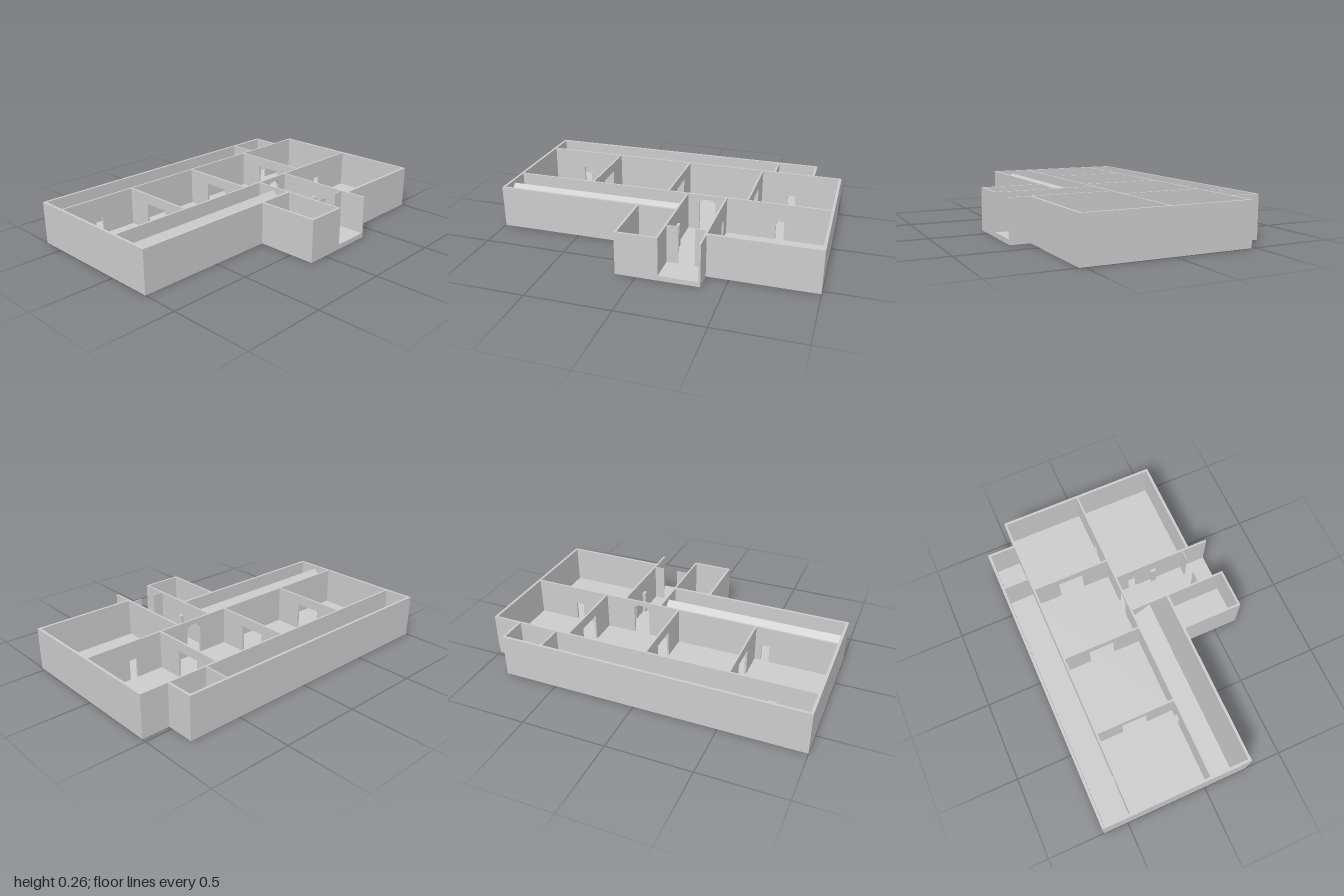
import * as THREE from 'three';

const FLOOR = 0.03, TOP = 0.26;
const material = new THREE.MeshStandardMaterial({ color: 0xcccccc, flatShading: true });

export function createModel() {
  const model = new THREE.Group();
  model.name = 'floorPlanBuilding';

  const add = (name, geometry) => {
    const mesh = new THREE.Mesh(geometry, material);
    mesh.name = name;
    model.add(mesh);
    return mesh;
  };

  // Wall outline from a to b; openings are [start, end, top, arched], in rising order
  const wallGeometry = (a, b, t, openings) => {
    const s = new THREE.Shape();
    s.moveTo(a, FLOOR);
    for (const [p, q, top, arched] of openings) {
      const r = (q - p) / 2;
      s.lineTo(p, FLOOR);
      if (arched) {
        s.lineTo(p, top - r * 0.65);
        s.absellipse((p + q) / 2, top - r * 0.65, r, r * 0.65, Math.PI, 0, true);
      } else {
        s.lineTo(p, top);
        s.lineTo(q, top);
      }
      s.lineTo(q, FLOOR);
    }
    s.lineTo(b, FLOOR);
    s.lineTo(b, TOP);
    s.lineTo(a, TOP);
    s.closePath();
    return new THREE.ExtrudeGeometry(s, { depth: t, bevelEnabled: false, curveSegments: 12 });
  };
  // Wall running along x, occupying z .. z + t
  const wallX = (name, a, b, z, t, openings = []) => {
    add(name, wallGeometry(a, b, t, openings)).position.z = z;
  };
  // Wall running along z, occupying x .. x + t
  const wallZ = (name, a, b, x, t, openings = []) => {
    const mesh = add(name, wallGeometry(a, b, t, openings));
    mesh.rotation.y = -Math.PI / 2;
    mesh.position.x = x + t;
  };

  // Floor slab
  const outline = [[-1, -0.65], [0.83, -0.65], [0.83, -0.475], [1, -0.475], [1, 0.53],
    [0.37, 0.53], [0.37, 0.65], [-0.12, 0.65], [-0.12, 0.275], [-1, 0.275]];
  const slab = new THREE.Shape(outline.map(([x, z]) => new THREE.Vector2(x, -z)));
  add('floorSlab', new THREE.ExtrudeGeometry(slab, { depth: FLOOR, bevelEnabled: false })
    .rotateX(-Math.PI / 2));

  // Outer walls
  wallX('backWall', -1, 0.83, -0.65, 0.016);
  wallZ('rightWall', -0.65, 0.275, -1, 0.016);
  wallZ('corridorEndWall', -0.65, -0.475, 0.816, 0.014);
  wallZ('leftWall', -0.475, 0.53, 0.984, 0.016);
  wallX('leftRoomFrontWall', 0.37, 1, 0.514, 0.016);
  wallX('trenchFrontWall', -1, 0.125, 0.259, 0.016);
  wallZ('smallRoomSideWall', 0.275, 0.65, -0.12, 0.014);
  wallX('smallRoomFrontWall', -0.12, 0.13, 0.637, 0.013);

  // Inner long walls with small doorways and the entrance arch
  wallX('corridorWall', -1, 1, -0.477, 0.012, [[-0.77, -0.72, 0.14], [0.67, 0.72, 0.14]]);
  wallX('middleWall', -1, 1, 0.018, 0.012,
    [[-0.59, -0.54, 0.14], [0.2, 0.3, 0.232, true], [0.67, 0.72, 0.15]]);

  // Room dividers with wide doorways
  for (const x of [-0.502, -0.006, 0.488]) {
    wallZ('roomDivider', -0.475, 0.02, x, 0.012, [[-0.31, -0.15, 0.2]]);
  }
  wallZ('corridorDivider', -0.64, -0.475, 0.57, 0.01);

  // Entrance hall, open to the front
  wallZ('hallRightWall', 0.025, 0.65, 0.118, 0.012);
  wallZ('hallLeftWall', 0.025, 0.65, 0.358, 0.012, [[0.11, 0.16, 0.15]]);
  wallX('hallScreenRight', 0.125, 0.2, 0.48, 0.006);
  wallX('hallScreenLeft', 0.295, 0.36, 0.48, 0.006);
  for (const x of [0.139, 0.349]) {
    add('hallPost', new THREE.BoxGeometry(0.02, 0.14, 0.032)).position.set(x, FLOOR + 0.07, 0.28);
  }

  // Long gabled roof strip over the trench
  const gable = new THREE.Shape();
  [[0.03, 0.145], [0.145, 0.24], [0.259, 0.145]].forEach(([z, y], i) =>
    i ? gable.lineTo(z, y) : gable.moveTo(z, y));
  gable.closePath();
  const roof = add('trenchRoof', new THREE.ExtrudeGeometry(gable, { depth: 1.104, bevelEnabled: false }));
  roof.rotation.y = -Math.PI / 2;
  roof.position.x = 0.12;

  return model;
}
